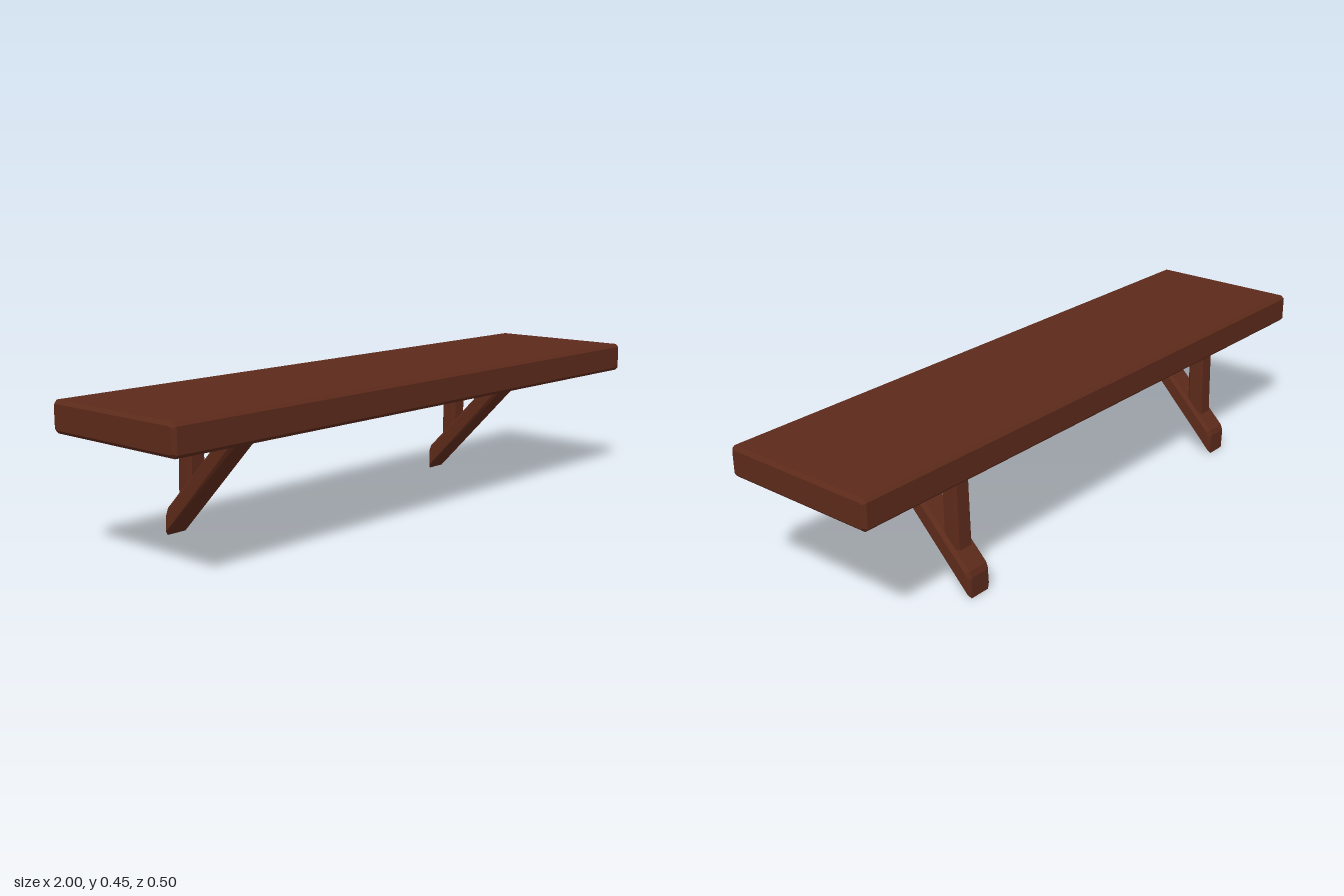
import * as THREE from 'three';

const wood = new THREE.MeshStandardMaterial({ color: 0x5c2a1a, flatShading: true });

// Chamfered timber: a side profile of [z, y] points, spread along x by the given width
function timber(name, profile, width, chamfer) {
  const shape = new THREE.Shape(profile.map(([z, y]) => new THREE.Vector2(z, y)));
  const geometry = new THREE.ExtrudeGeometry(shape, {
    depth: width - 2 * chamfer,
    bevelEnabled: true,
    bevelThickness: chamfer,
    bevelSize: chamfer,
    bevelOffset: -chamfer,
    bevelSegments: 1,
  });
  geometry.translate(0, 0, chamfer - width / 2);
  geometry.rotateY(-Math.PI / 2);
  const mesh = new THREE.Mesh(geometry, wood);
  mesh.name = name;
  return mesh;
}

export function createModel() {
  const group = new THREE.Group();
  group.name = 'wallShelf';

  // Board with chamfered long edges
  const c = 0.01, z = 0.25, low = 0.355, high = 0.446;
  group.add(timber('board', [
    [-z + c, low], [z - c, low], [z, low + c], [z, high - c],
    [z - c, high], [-z + c, high], [-z, high - c], [-z, low + c],
  ], 2, c));

  // A pair of brackets, each a diagonal brace and an upright post
  for (const side of [-1, 1]) {
    const bracket = new THREE.Group();
    bracket.name = side > 0 ? 'leftBracket' : 'rightBracket';
    bracket.position.x = side * 0.597;

    // Ends of both timbers are let into the board
    bracket.add(timber('brace', [
      [-0.248, 0], [0.095, 0.346], [0.095, 0.385],
      [0.06, 0.385], [-0.243, 0.082], [-0.25, 0.064],
    ], 0.086, 0.01));

    // Post leans slightly backwards and rests in the brace
    bracket.add(timber('post', [
      [-0.2, 0.09], [-0.146, 0.115], [-0.14, 0.38], [-0.194, 0.38],
    ], 0.064, 0.01));

    group.add(bracket);
  }
  return group;
}
